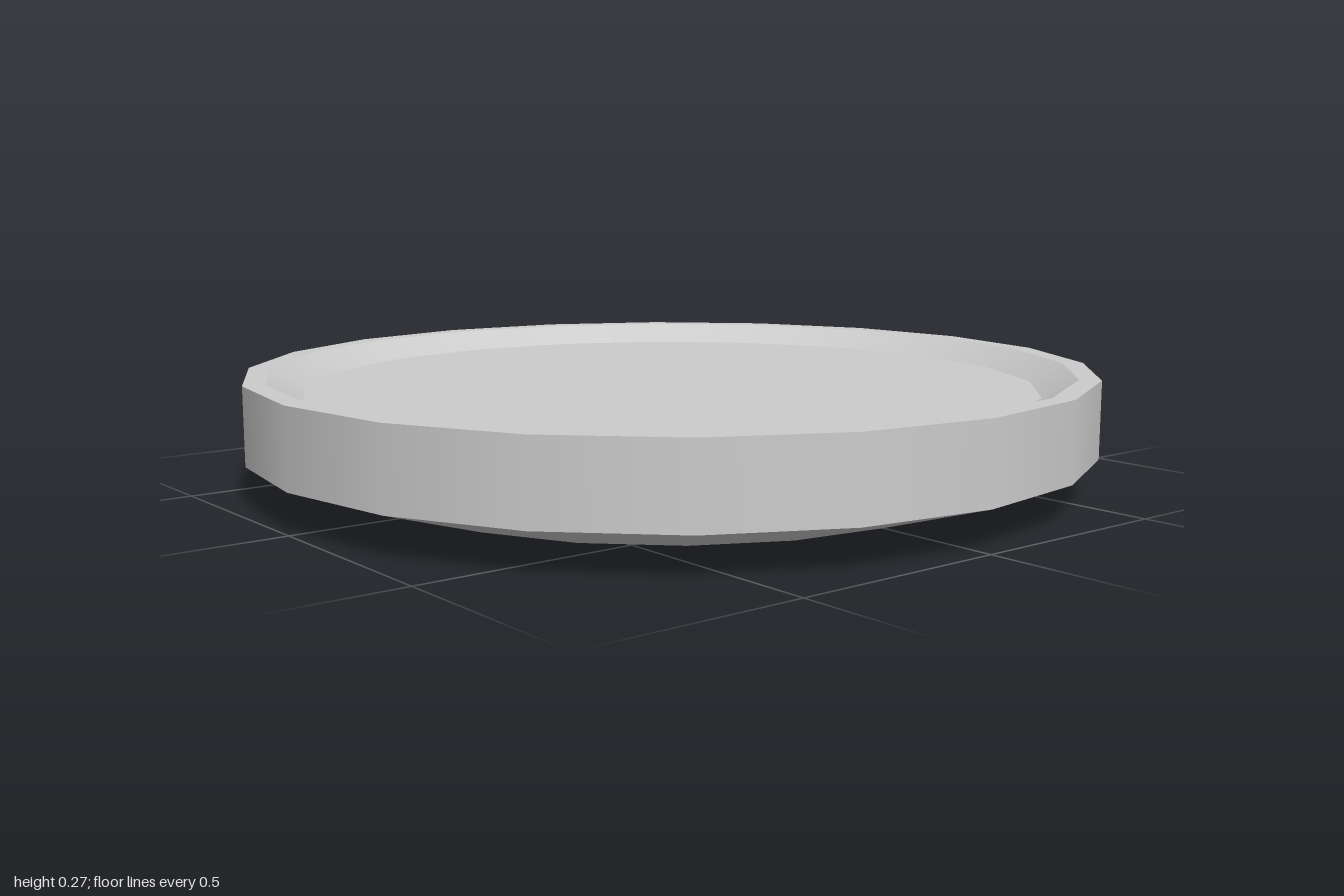
import * as THREE from 'three';

const SIDES = 20;

export function createModel() {
  const group = new THREE.Group();
  group.name = 'shallowDish';
  const material = new THREE.MeshStandardMaterial({ color: 0xcccccc });

  // Each band is smooth around its turn, with a sharp edge to the next band.
  const band = (name, points) => {
    const profile = points.map(([r, y]) => new THREE.Vector2(r, y));
    const mesh = new THREE.Mesh(new THREE.LatheGeometry(profile, SIDES), material);
    mesh.name = name;
    group.add(mesh);
  };

  band('underside', [[0, 0], [0.71, 0], [1, 0.09]]);
  band('outerWall', [[1, 0.09], [1, 0.27]]);
  band('rim', [[1, 0.27], [0.95, 0.27]]);
  band('innerSlope', [[0.95, 0.27], [0.87, 0.226]]);
  band('floor', [[0.87, 0.226], [0, 0.226]]);

  return group;
}
